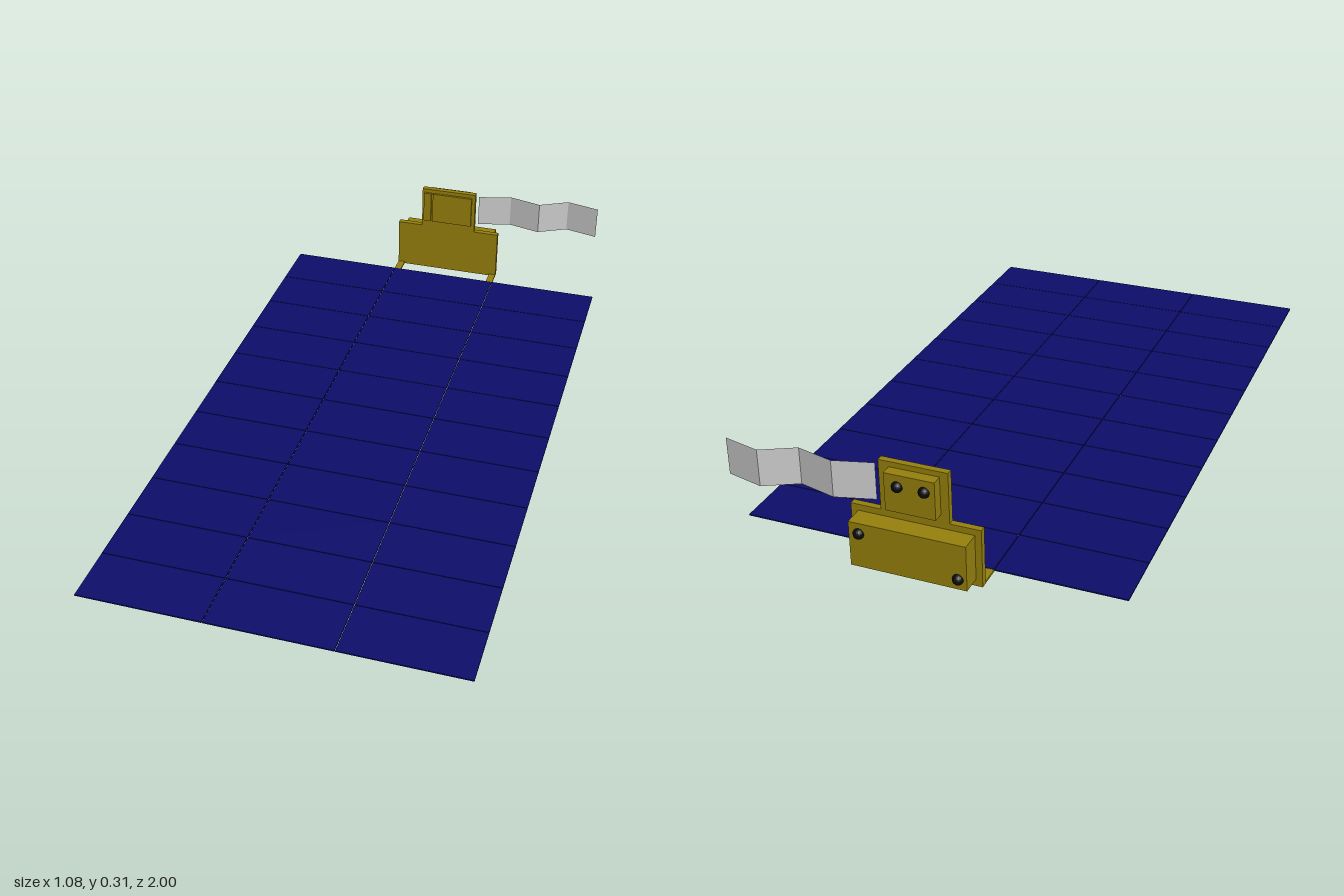
import * as THREE from 'three';

const mat = (color) => new THREE.MeshStandardMaterial({ color, flatShading: true });

export function createModel() {
  const model = new THREE.Group();
  const gold = mat(0x96800d), blue = mat(0x0d0d6b), black = mat(0x0a0a0a), grey = mat(0xcccccc);
  grey.side = THREE.DoubleSide;

  const add = (name, geometry, material) => {
    const mesh = new THREE.Mesh(geometry, material);
    mesh.name = name;
    model.add(mesh);
    return mesh;
  };
  // box given by its minimum and maximum on each axis
  const box = (name, material, [x0, x1], [y0, y1], [z0, z1]) =>
    add(name, new THREE.BoxGeometry(x1 - x0, y1 - y0, z1 - z0), material)
      .position.set((x0 + x1) / 2, (y0 + y1) / 2, (z0 + z1) / 2);

  // thin panel: 3 columns by 11 rows of cells with hairline gaps
  const cols = 3, rows = 11, gap = 0.001;
  const w = 1.08 / cols, d = 1.858 / rows;
  for (let i = 0; i < cols; i++) {
    for (let j = 0; j < rows; j++) {
      const x = -0.54 + i * w, z = -0.858 + j * d;
      box('panelCell', blue,
        [x + (i ? gap : 0), x + w - (i < cols - 1 ? gap : 0)],
        [0.003, 0.007],
        [z + (j ? gap : 0), z + d - (j < rows - 1 ? gap : 0)]);
    }
  }

  // upright T-shaped plate
  const outline = [[-0.18, 0], [0.18, 0], [0.18, 0.168], [0.095, 0.168],
    [0.095, 0.313], [-0.095, 0.313], [-0.095, 0.168], [-0.18, 0.168]];
  const shape = new THREE.Shape(outline.map(([x, y]) => new THREE.Vector2(x, y)));
  add('bracketPlate', new THREE.ExtrudeGeometry(shape, { depth: 0.018, bevelEnabled: false }), gold)
    .position.z = -0.93;

  // arms joining the plate to the panel
  for (const s of [-1, 1]) {
    box('bracketArm', gold, s < 0 ? [-0.18, -0.157] : [0.157, 0.18], [0, 0.006], [-0.915, -0.857]);
  }

  // raised pads on the front, blocks on the back
  box('frontStrip', gold, [-0.088, -0.062], [0.192, 0.3], [-0.913, -0.904]);
  box('frontPad', gold, [-0.056, 0.083], [0.192, 0.3], [-0.913, -0.904]);
  box('lowerBlock', gold, [-0.162, 0.16], [0.02, 0.15], [-0.985, -0.929]);
  box('upperBlock', gold, [-0.072, 0.066], [0.19, 0.298], [-0.96, -0.929]);

  // round screw heads
  const head = new THREE.SphereGeometry(0.015, 16, 12);
  for (const [x, y, z] of [[0.132, 0.12, -0.985], [-0.138, 0.05, -0.985],
    [0.03, 0.265, -0.96], [-0.043, 0.265, -0.96]]) {
    add('screwHead', head, black).position.set(x, y, z);
  }

  // folded ribbon cable
  const folds = [[0.105, -0.928], [0.213, -0.957], [0.319, -0.93], [0.412, -0.978], [0.518, -0.952]];
  const ribbon = new THREE.PlaneGeometry(1, 1, folds.length - 1, 1);
  const pos = ribbon.attributes.position;
  for (let i = 0; i < pos.count; i++) {
    const [x, z] = folds[i % folds.length];
    pos.setXYZ(i, x, i < folds.length ? 0.3 : 0.193, z);
  }
  ribbon.computeVertexNormals();
  add('ribbonCable', ribbon, grey);

  return model;
}
